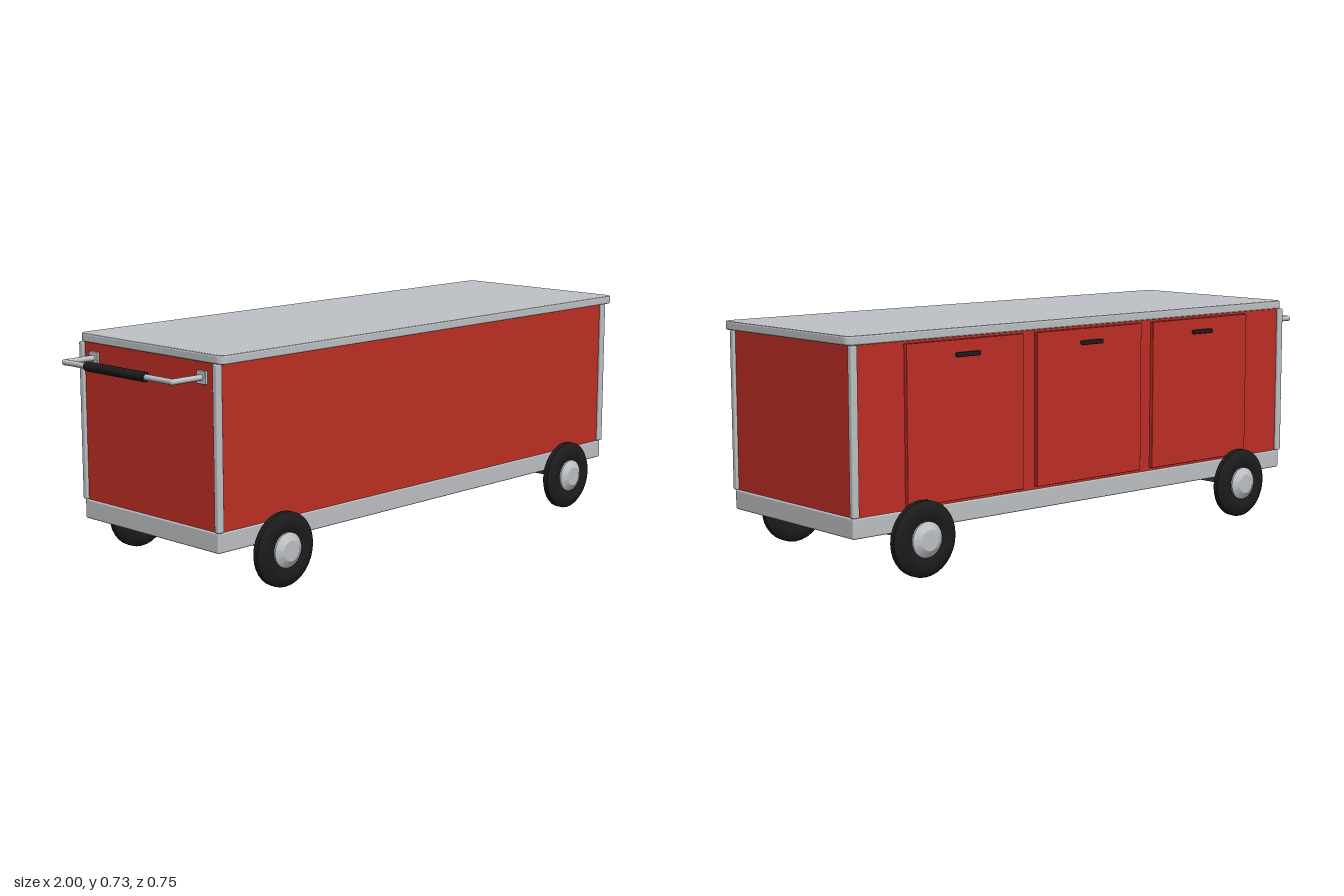
import * as THREE from 'three';
import { toCreasedNormals } from 'three/addons/utils/BufferGeometryUtils.js';
import { RoundedBoxGeometry } from 'three/addons/geometries/RoundedBoxGeometry.js';

const material = (name, color) => {
  const m = new THREE.MeshStandardMaterial({ color });
  m.name = name;
  return m;
};

export function createModel() {
  const red = material('red panel', 0xbf2e24);
  const grey = material('light grey metal', 0xbfc2c6);
  const steel = material('dark steel', 0x5a5a60);
  const rubber = material('black rubber', 0x1c1c1d);

  const cart = new THREE.Group();
  cart.name = 'serviceCart';
  const MID = 0.055; // body centre along x

  const add = (name, geometry, mat, x, y, z, parent = cart) => {
    const mesh = new THREE.Mesh(geometry, mat);
    mesh.name = name;
    mesh.position.set(x, y, z);
    parent.add(mesh);
    return mesh;
  };
  const rounded = (w, h, d, r) => new RoundedBoxGeometry(w, h, d, 2, r);
  const rodZ = (r, length) => new THREE.CylinderGeometry(r, r, length, 20).rotateX(Math.PI / 2);
  const rodX = (r, length) => new THREE.CylinderGeometry(r, r, length, 20).rotateZ(Math.PI / 2);
  // Solid of revolution about z, with crisp profile edges
  const turned = (profile) => toCreasedNormals(
    new THREE.LatheGeometry(profile.map(([r, z]) => new THREE.Vector2(r, z)), 32).rotateX(Math.PI / 2), 0.5);

  // Worktop: rounded-corner slab with softened rims
  const w = 0.933, d = 0.325, r = 0.02;
  const outline = new THREE.Shape();
  outline.absarc(w - r, d - r, r, 0, Math.PI / 2);
  outline.absarc(-w + r, d - r, r, Math.PI / 2, Math.PI);
  outline.absarc(-w + r, -d + r, r, Math.PI, Math.PI * 1.5);
  outline.absarc(w - r, -d + r, r, Math.PI * 1.5, Math.PI * 2);
  const slab = new THREE.ExtrudeGeometry(outline, {
    depth: 0.018, bevelEnabled: true, bevelSize: 0.005, bevelThickness: 0.005, bevelSegments: 2, curveSegments: 6,
  });
  slab.rotateX(-Math.PI / 2);
  add('worktop', slab, grey, 0.0575, 0.71, 0.015);

  // Cabinet and chassis
  add('cabinetBody', new THREE.BoxGeometry(1.85, 0.506, 0.62), red, MID, 0.453, 0);
  add('chassisFrame', rounded(1.86, 0.063, 0.626, 0.006), grey, MID, 0.172, 0);

  // Corner posts
  for (const sx of [-1, 1]) {
    for (const sz of [-1, 1]) {
      add('cornerPost', rounded(0.024, 0.502, 0.02, 0.005), grey, MID + sx * 0.922, 0.454, sz * 0.309);
    }
  }

  // Three rear doors with pulls
  for (const i of [-1, 0, 1]) {
    const x = MID + i * 0.51;
    add('rearDoor', rounded(0.456, 0.486, 0.018, 0.002), red, x, 0.455, -0.314);
    add('doorPull', rounded(0.09, 0.014, 0.016, 0.004), rubber, x, 0.653, -0.33);
  }

  // Axles and wheels
  const tyreProfile = [
    [0.052, -0.014], [0.075, -0.0225], [0.09, -0.0225], [0.108, -0.016], [0.116, -0.009],
    [0.116, 0.009], [0.108, 0.016], [0.09, 0.0225], [0.075, 0.0225], [0.052, 0.014],
  ];
  const hubProfile = [[0, -0.018], [0.055, -0.018], [0.055, 0.021], [0.032, 0.035], [0, 0.035]];
  const tyre = turned(tyreProfile);
  const hub = turned(hubProfile);
  for (const x of [-0.637, 0.75]) {
    add('axle', rodZ(0.014, 0.66), steel, x, 0.116, 0);
    add('axleBeam', rounded(0.05, 0.024, 0.57, 0.004), steel, x, 0.13, 0);
    for (const side of [-1, 1]) {
      const wheel = new THREE.Group();
      wheel.name = 'wheel';
      wheel.position.set(x, 0.116, side * 0.339);
      if (side < 0) wheel.rotation.y = Math.PI;
      add('tyre', tyre, rubber, 0, 0, 0, wheel);
      add('hub', hub, grey, 0, 0, 0, wheel);
      cart.add(wheel);
    }
  }

  // Push handle on the end panel
  const handle = new THREE.Group();
  handle.name = 'pushHandle';
  handle.position.y = 0.659;
  for (const side of [-1, 1]) {
    add('handleArm', rodX(0.009, 0.115), grey, -0.927, 0, side * 0.25, handle);
    add('mountPlate', rounded(0.01, 0.04, 0.04, 0.002), grey, -0.873, 0, side * 0.25, handle);
    add('handleElbow', new THREE.SphereGeometry(0.0095, 16, 12), grey, -0.985, 0, side * 0.25, handle);
  }
  add('handleBar', rodZ(0.009, 0.5), grey, -0.985, 0, 0, handle);
  add('handleGrip', rodZ(0.015, 0.275), rubber, -0.985, 0, -0.005, handle);
  cart.add(handle);

  return cart;
}
